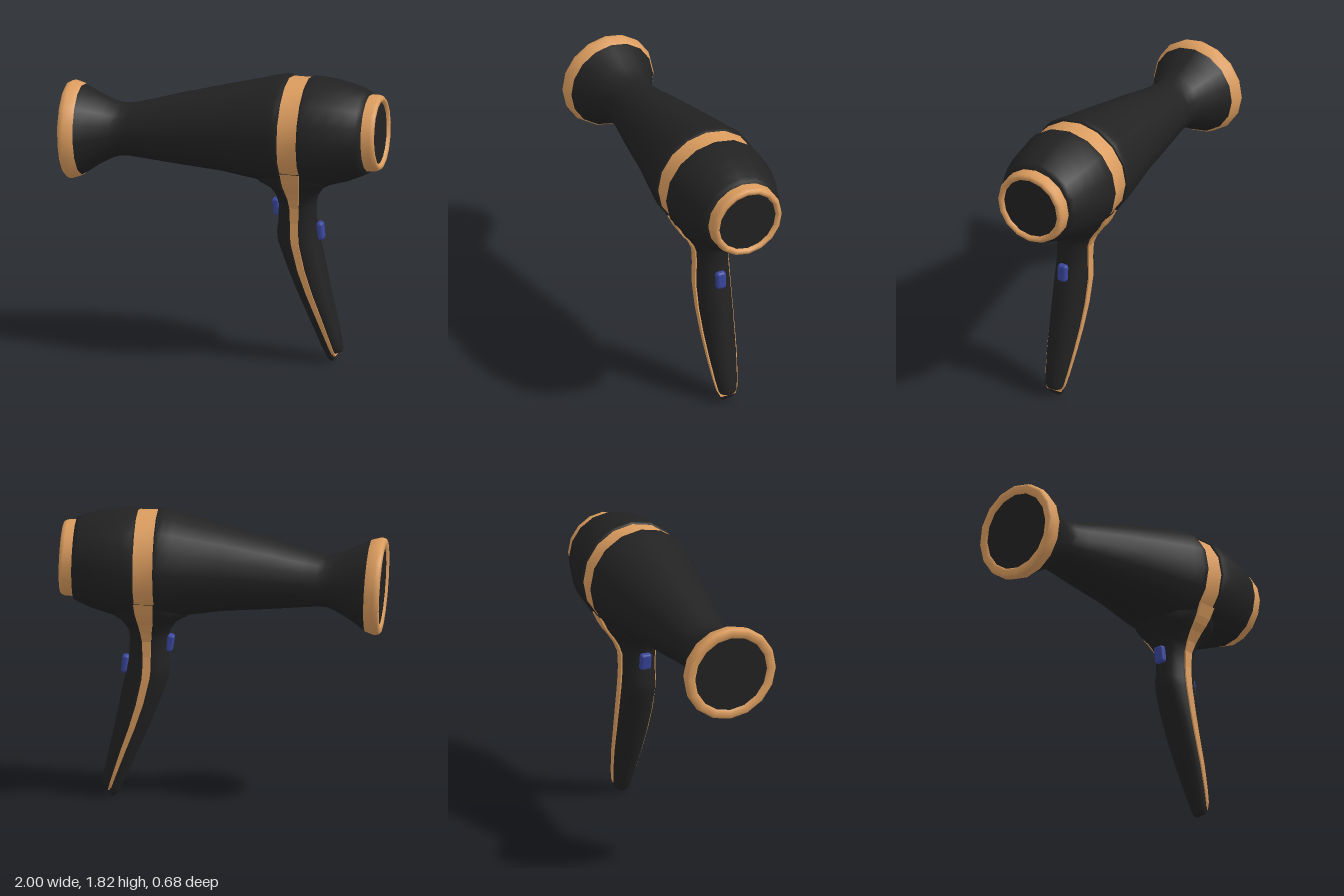
import * as THREE from 'three';
import { RoundedBoxGeometry } from 'three/addons/geometries/RoundedBoxGeometry.js';

const mat = (color) => new THREE.MeshStandardMaterial({ color, side: THREE.DoubleSide });
const SIDES = 16;

// Skin a list of cross-sections (arrays of [x, y, z]); optional fan over the last one
function loft(rows, closed = true, cap = false, flat = false) {
  const n = rows[0].length, pos = rows.flat(2), idx = [];
  const last = closed ? n : n - 1;
  for (let i = 0; i < rows.length - 1; i++) {
    for (let j = 0; j < last; j++) {
      const a = i * n + j, b = i * n + (j + 1) % n;
      idx.push(a, b, a + n, b, b + n, a + n);
    }
  }
  if (cap) {
    const end = rows[rows.length - 1], base = pos.length / 3;
    const mid = [0, 1, 2].map((k) => end.reduce((s, p) => s + p[k], 0) / n);
    pos.push(...end.flat(), ...mid);
    for (let j = 0; j < n; j++) idx.push(base + n, base + j, base + (j + 1) % n);
  }
  let g = new THREE.BufferGeometry();
  g.setAttribute('position', new THREE.Float32BufferAttribute(pos, 3));
  g.setIndex(idx);
  if (flat) g = g.toNonIndexed();
  g.computeVertexNormals();
  return g;
}

// Circular section across the barrel; tilt leans its top towards -x
function circle([x, cy, r, tilt = 0]) {
  return Array.from({ length: SIDES }, (_, j) => {
    const a = (j / SIDES) * Math.PI * 2, c = r * Math.cos(a);
    return [x - tilt * c, cy + c, r * Math.sin(a)];
  });
}

// Half-ellipse section of the grip, from +z round the outer side to -z
function half(y, outer, mid, zh) {
  return Array.from({ length: 11 }, (_, j) => {
    const a = (j / 10) * Math.PI;
    return [mid + (outer - mid) * Math.sin(a), y, zh * Math.cos(a)];
  });
}

export function createModel() {
  const group = new THREE.Group();
  const black = mat(0x222222), copper = mat(0xdb9c5e), blue = mat(0x3a469c);
  const add = (name, geo, material) => {
    const m = new THREE.Mesh(geo, material);
    m.name = name;
    group.add(m);
    return m;
  };
  const barrel = (name, sections, material) => add(name, loft(sections.map(circle)), material);

  // Barrel: flared nozzle, narrow neck and cone
  barrel('frontShell', [
    [-0.895, 1.365, 0.28, 0.05], [-0.87, 1.367, 0.269, 0.05], [-0.8, 1.375, 0.229, 0.04],
    [-0.74, 1.38, 0.199, 0.03], [-0.69, 1.384, 0.176, 0.02], [-0.64, 1.388, 0.163, 0.01],
    [-0.59, 1.392, 0.165], [-0.5, 1.4, 0.179], [-0.3, 1.422, 0.217], [0, 1.453, 0.268],
    [0.2, 1.464, 0.308], [0.3, 1.471, 0.329], [0.36, 1.475, 0.339], [0.395, 1.475, 0.34],
    [0.404, 1.475, 0.335], [0.406, 1.475, 0.32],
  ], black);
  barrel('rearShell', [
    [0.526, 1.475, 0.32], [0.528, 1.475, 0.335], [0.54, 1.475, 0.34], [0.6, 1.475, 0.338],
    [0.7, 1.478, 0.325], [0.8, 1.483, 0.3], [0.88, 1.487, 0.27], [0.91, 1.489, 0.255, 0.02],
    [0.916, 1.49, 0.22, 0.02],
  ], black);

  // Copper trim around the barrel
  barrel('middleBand', [[0.4, 1.475, 0.328], [0.534, 1.475, 0.328]], copper);
  barrel('nozzleRing', [
    [-0.972, 1.36, 0.24, 0.05], [-0.985, 1.36, 0.255, 0.05], [-0.986, 1.36, 0.285, 0.05],
    [-0.975, 1.36, 0.298, 0.05], [-0.95, 1.362, 0.303, 0.05], [-0.892, 1.365, 0.285, 0.05],
    [-0.889, 1.365, 0.265, 0.05],
  ], copper);
  barrel('rearRing', [
    [0.905, 1.49, 0.238, 0.03], [0.965, 1.492, 0.236, 0.03], [0.985, 1.493, 0.228, 0.03],
    [0.993, 1.493, 0.215, 0.03], [0.99, 1.493, 0.2, 0.03], [0.973, 1.493, 0.192, 0.03],
  ], copper);
  barrel('nozzleOpening', [[-0.972, 1.36, 0], [-0.972, 1.36, 0.245, 0.05]], black);
  barrel('rearGrille', [[0.973, 1.493, 0.195, 0.03], [0.973, 1.493, 0]], black);

  // Grip stations: y, front x, seam x, back x, half depth, half width of the trim
  const grip = [
    [1.27, 0.22, 0.47, 0.72, 0.262, 0.06], [1.2, 0.19, 0.468, 0.71, 0.23, 0.055],
    [1.16, 0.2, 0.466, 0.7, 0.205, 0.05], [1.12, 0.28, 0.465, 0.63, 0.174, 0.044],
    [1.06, 0.325, 0.465, 0.588, 0.135, 0.035], [1, 0.343, 0.463, 0.578, 0.112, 0.028],
    [0.9, 0.341, 0.463, 0.58, 0.108, 0.025], [0.82, 0.331, 0.464, 0.595, 0.112, 0.025],
    [0.76, 0.337, 0.47, 0.607, 0.114, 0.024], [0.6, 0.395, 0.507, 0.64, 0.112, 0.022],
    [0.45, 0.455, 0.555, 0.67, 0.104, 0.019], [0.3, 0.52, 0.611, 0.705, 0.092, 0.016],
    [0.15, 0.587, 0.664, 0.735, 0.074, 0.012], [0.08, 0.617, 0.688, 0.747, 0.062, 0.01],
  ];
  const front = grip.map(([y, f, m, , z]) => half(y, f, m, z));
  front.push(half(0.035, 0.638, 0.698, 0.053), half(0.012, 0.653, 0.694, 0.04), half(0, 0.668, 0.685, 0.02));
  add('gripFront', loft(front, true, true), black);

  const back = grip.map(([y, , m, b, z]) => half(y, b, m, z).reverse());
  back.push(half(0.062, 0.738, 0.695, 0.052).reverse(), half(0.055, 0.72, 0.7, 0.042).reverse());
  add('gripBack', loft(back, true, true), black);

  // Copper strip running down both sides of the grip and under its tip
  const strip = grip.map(([y, , m, , z, w]) => [y, m, z + 0.006, w]);
  strip.push([0.04, 0.7, 0.05, 0.009]);
  add('gripTrim', loft(strip.map(([y, m, z, w]) => [
    [m - w, y, z], [m - w, y, -z], [m + w, y, -z], [m + w, y, z],
  ]), true, true, true), copper);

  // Buttons
  const trigger = add('triggerButton', new RoundedBoxGeometry(0.045, 0.105, 0.07, 3, 0.015), blue);
  trigger.position.set(0.33, 0.972, 0);
  trigger.rotation.z = 0.16;
  const button = add('rearSwitch', new RoundedBoxGeometry(0.045, 0.115, 0.066, 3, 0.02), blue);
  button.position.set(0.605, 0.833, 0);
  button.rotation.z = 0.08;

  return group;
}
